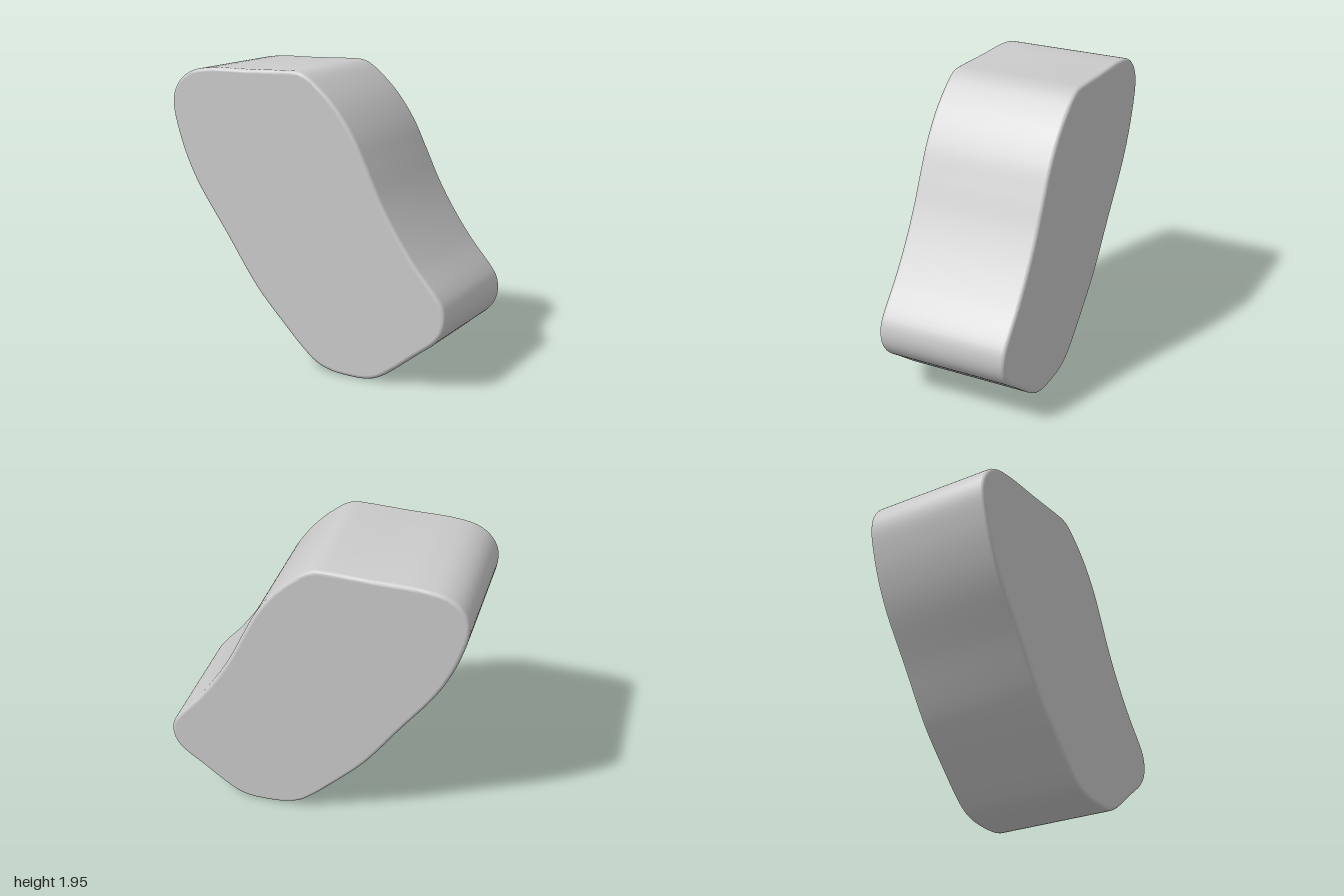
import * as THREE from 'three';
import { toCreasedNormals } from 'three/addons/utils/BufferGeometryUtils.js';

const DEPTH = 0.9;
const BEVEL = 0.025;

// Outline of the slanted block, counterclockwise from the top corner
const OUTLINE = [
  [-0.04, 1.955], [-0.1, 1.957], [-0.4, 1.95], [-0.7, 1.945], [-0.84, 1.92], [-0.93, 1.865],
  [-0.985, 1.78], [-0.997, 1.68], [-0.95, 1.48], [-0.88, 1.3], [-0.8, 1.15], [-0.6, 0.86],
  [-0.36, 0.51], [-0.15, 0.28], [0, 0.13], [0.09, 0.06], [0.2, 0.02], [0.38, 0.005],
  [0.46, 0.01], [0.53, 0.03], [0.6, 0.07], [0.8, 0.22], [0.93, 0.32], [0.98, 0.39],
  [0.998, 0.47], [0.985, 0.55], [0.95, 0.61], [0.8, 0.79], [0.66, 0.99], [0.55, 1.18],
  [0.45, 1.39], [0.36, 1.57], [0.24, 1.74], [0.12, 1.86], [0.02, 1.935],
];

export function createModel() {
  const group = new THREE.Group();

  const curve = new THREE.CatmullRomCurve3(
    OUTLINE.map(([x, y]) => new THREE.Vector3(x, y, 0)), true, 'centripetal');
  const points = curve.getSpacedPoints(200).slice(0, -1)
    .map((p) => new THREE.Vector2(p.x, p.y));

  // Straight extrusion with a small rounded edge inside the outline
  const extrusion = new THREE.ExtrudeGeometry(new THREE.Shape(points), {
    depth: DEPTH - 2 * BEVEL,
    bevelThickness: BEVEL,
    bevelSize: BEVEL,
    bevelOffset: -BEVEL,
    bevelSegments: 5,
  });
  extrusion.translate(0, 0, BEVEL - DEPTH / 2);
  const caps = extrusion.groups[0];
  const geometry = toCreasedNormals(extrusion, 0.6);

  // Keep the two faces flat while the rim stays smooth
  const { position, normal } = geometry.attributes;
  for (let i = caps.start; i < caps.start + caps.count; i++) {
    normal.setXYZ(i, 0, 0, Math.sign(position.getZ(i)));
  }
  geometry.clearGroups();

  const block = new THREE.Mesh(geometry, new THREE.MeshStandardMaterial({ color: 0xcccccc }));
  block.name = 'slantedBlock';
  group.add(block);
  return group;
}
